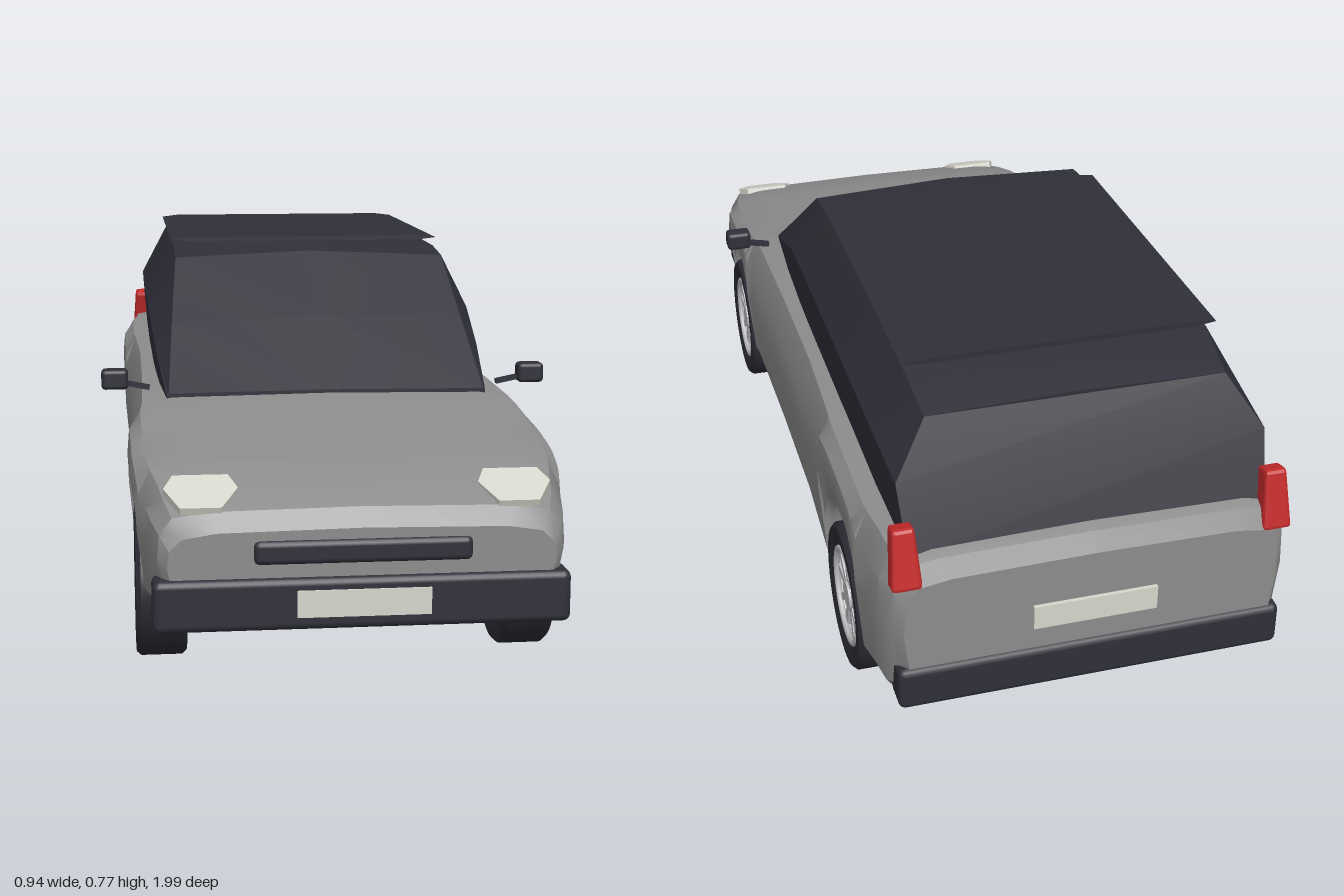
import * as THREE from 'three';
import { toCreasedNormals } from 'three/addons/utils/BufferGeometryUtils.js';
import { RoundedBoxGeometry } from 'three/addons/geometries/RoundedBoxGeometry.js';

const mat = (name, color, side = THREE.FrontSide) => {
  const m = new THREE.MeshStandardMaterial({ color, side });
  m.name = name;
  return m;
};

// Piecewise linear lookup in a table of [z, value], z falling
function lookup(table, z) {
  if (z >= table[0][0]) return table[0][1];
  for (let i = 1; i < table.length; i++) {
    const [z0, v0] = table[i - 1], [z1, v1] = table[i];
    if (z >= z1) return v0 + (v1 - v0) * (z - z0) / (z1 - z0);
  }
  return table[table.length - 1][1];
}

// Mirrored loft: each section is a half profile from bottom centre to top centre, front to back
function loft(sections, crease) {
  const rings = sections.map(s => [...s, ...s.slice(1, -1).reverse().map(([x, y, z]) => [-x, y, z])]);
  const n = rings[0].length, last = rings.length - 1, index = [];
  const at = (j, i) => j * n + (i % n);
  for (let j = 0; j < last; j++) for (let i = 0; i < n; i++) {
    index.push(at(j, i), at(j + 1, i), at(j + 1, i + 1), at(j, i), at(j + 1, i + 1), at(j, i + 1));
  }
  for (let i = 0; i < n / 2; i++) { // end caps
    index.push(at(0, i), at(0, i + 1), at(0, n - i - 1), at(0, i), at(0, n - i - 1), at(0, n - i));
    index.push(at(last, i), at(last, n - i - 1), at(last, i + 1), at(last, i), at(last, n - i), at(last, n - i - 1));
  }
  const g = new THREE.BufferGeometry();
  g.setAttribute('position', new THREE.Float32BufferAttribute(rings.flat(2), 3));
  g.setIndex(index);
  return toCreasedNormals(g, crease);
}

const AXLES = [0.63, -0.61], ARCH = 0.175, WHEEL_R = 0.153;
const TOP = [[0.985, 0.335], [0.965, 0.37], [0.92, 0.392], [0.87, 0.408], [0.8, 0.425], [0.6, 0.455],
  [0.42, 0.482], [0, 0.49], [-0.4, 0.5], [-0.92, 0.495], [-0.96, 0.48], [-0.982, 0.445]];
const WIDTH = [[0.985, 0.355], [0.965, 0.372], [0.92, 0.385], [0.87, 0.393], [0.7, 0.405], [0.4, 0.41],
  [-0.85, 0.41], [-0.92, 0.405], [-0.96, 0.388], [-0.982, 0.37]];
const BOTTOM = [[0.985, 0.19], [0.92, 0.165], [0.806, 0.16], [0.454, 0.137], [-0.434, 0.125], [-0.786, 0.14],
  [-0.92, 0.16], [-0.982, 0.19]];

function bodyGeometry() {
  const stations = [0.985, 0.965, 0.92, 0.87, 0.806, 0.454, 0.42, 0.1, -0.2, -0.434, -0.786, -0.85, -0.92, -0.96, -0.982];
  for (const a of AXLES) for (let k = 0; k <= 16; k++) stations.push(a + ARCH * Math.cos(k / 16 * Math.PI));
  stations.sort((p, q) => q - p);
  return loft(stations.map(z => {
    let b = lookup(BOTTOM, z), w = lookup(WIDTH, z);
    for (const a of AXLES) {
      const u = Math.abs(z - a) / ARCH;
      if (u <= 1.0001) b = Math.max(b, 0.15 + 0.185 * Math.pow(Math.max(0, 1 - u ** 2.5), 0.4)); // wheel arch
      w += 0.011 * Math.min(1, Math.max(0, 2.8 - 2 * u)); // flare
    }
    const t = lookup(TOP, z), s = t - 0.014, sill = b + 0.022;
    const y = f => s - (s - sill) * f;
    return [[0, b, z], [w - 0.03, b, z], [w - 0.014, sill, z], [w, y(0.5), z], [w - 0.004, y(0.2), z],
      [w - 0.027, s, z], [w - 0.09, t - 0.004, z], [0, t, z]];
  }), 0.45);
}

function cabinGeometry() {
  // [z, base x, mid x, mid y, roof x, roof y, centre y]
  const rows = [
    [0.42, 0.335, 0.337, 0.483, 0.332, 0.486, 0.489],
    [0.24, 0.345, 0.354, 0.553, 0.318, 0.612, 0.622],
    [0.07, 0.35, 0.364, 0.615, 0.303, 0.735, 0.748],
    [-0.04, 0.352, 0.366, 0.623, 0.303, 0.747, 0.76],
    [-0.4, 0.355, 0.367, 0.627, 0.303, 0.75, 0.762],
    [-0.72, 0.355, 0.366, 0.622, 0.302, 0.742, 0.755]];
  const sections = rows.map(([z, bx, mx, my, rx, ry, cy]) =>
    [[0, 0.465, z], [bx, 0.465, z], [mx, my, z], [rx, ry, z], [0, cy, z]]);
  // sloping tailgate
  sections.push([[0, 0.47, -0.945], [0.35, 0.47, -0.945], [0.36, 0.605, -0.893], [0.293, 0.708, -0.845], [0, 0.716, -0.845]]);
  return loft(sections, 0.3);
}

export function createModel() {
  const car = new THREE.Group();
  car.name = 'car';
  const paint = mat('body grey', 0x8c8c8c);
  const dark = mat('dark trim', 0x2f2f39);
  const tyreMat = mat('tyre', 0x2b2b34);
  const metal = mat('wheel metal', 0xb9bbbd, THREE.DoubleSide);
  const pale = mat('pale lamp and plate', 0xd6d6cc);
  const red = mat('red lamp', 0xc22a2a);

  const add = (name, geo, material, x = 0, y = 0, z = 0, parent = car) => {
    const m = new THREE.Mesh(geo, material);
    m.name = name;
    m.position.set(x, y, z);
    parent.add(m);
    return m;
  };
  const box = (w, h, d) => new THREE.BoxGeometry(w, h, d);

  add('body', bodyGeometry(), paint);
  add('cabin', cabinGeometry(), dark);

  // Thin roof panel, lens-shaped across
  const lens = new THREE.Shape();
  lens.moveTo(-0.31, 0.766);
  [[-0.27, 0.761], [0.27, 0.761], [0.31, 0.766], [0.27, 0.771], [-0.27, 0.771]].forEach(p => lens.lineTo(...p));
  add('roofPanel', new THREE.ExtrudeGeometry(lens, { depth: 0.71, bevelEnabled: false }), dark, 0, 0, -0.75);

  // Front and rear trim
  add('frontBumper', new RoundedBoxGeometry(0.765, 0.097, 0.07, 2, 0.014), dark, 0, 0.198, 0.963);
  add('rearBumper', new RoundedBoxGeometry(0.765, 0.09, 0.07, 2, 0.014), dark, 0, 0.205, -0.956);
  add('grille', new RoundedBoxGeometry(0.4, 0.045, 0.03, 2, 0.012), dark, 0, 0.293, 0.979);
  add('frontPlate', box(0.245, 0.05, 0.008), pale, 0, 0.2, 0.998);
  add('rearPlate', box(0.245, 0.05, 0.008), pale, 0, 0.325, -0.988);

  // Headlight lens outline, laid on the nose slope
  const lamp = new THREE.Shape();
  lamp.moveTo(-0.04, 0);
  [[0.035, 0], [0.068, 0.065], [0.052, 0.11], [-0.05, 0.11], [-0.068, 0.065]].forEach(p => lamp.lineTo(...p));
  const lampGeo = new THREE.ExtrudeGeometry(lamp, { depth: 0.014, bevelEnabled: false });

  // Tyre profile and rim parts
  const tyreGeo = toCreasedNormals(new THREE.LatheGeometry([[0.104, -0.042], [0.125, -0.05], [0.145, -0.049],
    [WHEEL_R, -0.04], [WHEEL_R, 0.04], [0.145, 0.049], [0.125, 0.05], [0.104, 0.042], [0.104, -0.042]]
    .map(p => new THREE.Vector2(...p)), 40).rotateZ(-Math.PI / 2), 0.6);
  const barrelGeo = new THREE.CylinderGeometry(0.103, 0.103, 0.084, 32, 1, true).rotateZ(Math.PI / 2);
  const lipGeo = new THREE.TorusGeometry(0.1, 0.007, 6, 32).rotateY(Math.PI / 2);
  const hubGeo = new THREE.CylinderGeometry(0.03, 0.034, 0.024, 20).rotateZ(-Math.PI / 2);
  const spokeGeo = box(0.014, 0.075, 0.016);

  for (const side of [1, -1]) {
    const tag = side > 0 ? 'left' : 'right';
    const head = add(tag + 'Headlight', lampGeo, pale, side * 0.29, 0.362, 0.966);
    head.rotation.x = -1.22;

    // Tail lamp, narrower at the top
    const tailGeo = new RoundedBoxGeometry(0.058, 0.122, 0.042, 1, 0.008);
    const p = tailGeo.attributes.position;
    for (let i = 0; i < p.count; i++) if (p.getY(i) > 0) p.setX(i, p.getX(i) * 0.75);
    tailGeo.computeVertexNormals();
    add(tag + 'TailLight', tailGeo, red, side * 0.362, 0.485, -0.952).rotation.x = 0.24;

    // Door mirror on a short arm
    add(tag + 'Mirror', new RoundedBoxGeometry(0.056, 0.042, 0.04, 2, 0.009), dark, side * 0.443, 0.511, 0.37);
    add(tag + 'MirrorArm', box(0.06, 0.01, 0.014), dark, side * 0.4, 0.497, 0.365).rotation.z = side * 0.2;

    AXLES.forEach((z, k) => {
      const wheel = new THREE.Group();
      wheel.name = tag + (k ? 'RearWheel' : 'FrontWheel');
      wheel.position.set(side * 0.36, WHEEL_R, z);
      if (side < 0) wheel.rotation.y = Math.PI;
      car.add(wheel);
      add('tyre', tyreGeo, tyreMat, 0, 0, 0, wheel);
      add('rimBarrel', barrelGeo, metal, 0, 0, 0, wheel);
      add('rimLip', lipGeo, metal, 0.04, 0, 0, wheel);
      add('rimInnerLip', lipGeo, metal, -0.04, 0, 0, wheel);
      add('hub', hubGeo, metal, 0.03, 0, 0, wheel);
      for (let i = 0; i < 10; i++) { // five pairs of spokes
        const a = Math.floor(i / 2) * Math.PI * 0.4 + (i % 2 ? 0.27 : -0.27);
        const spoke = add('spoke', spokeGeo, metal, 0.03, 0.065 * Math.cos(a), 0.065 * Math.sin(a), wheel);
        spoke.rotation.x = a;
      }
    });
  }
  return car;
}
